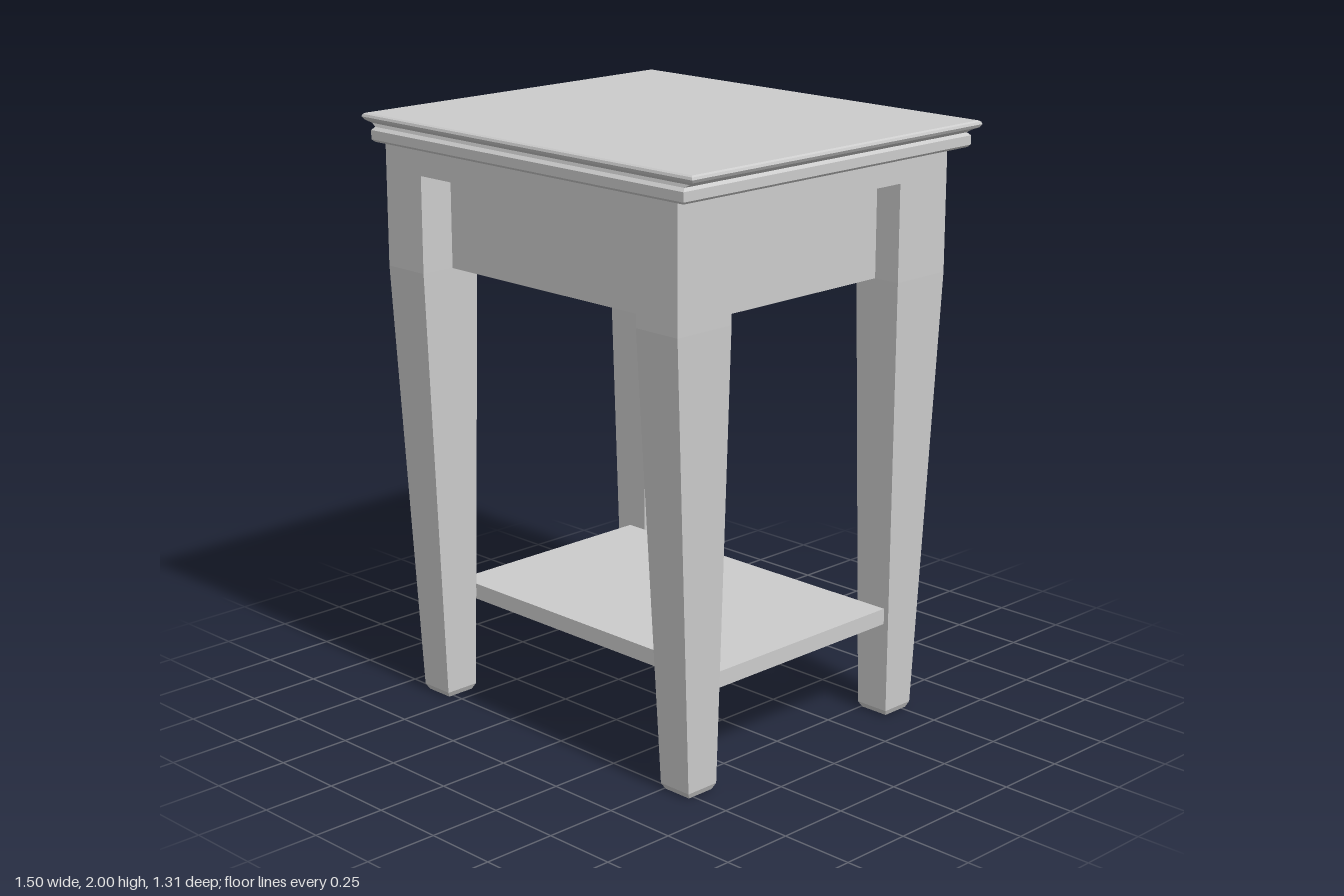
import * as THREE from 'three';

const material = new THREE.MeshStandardMaterial({ color: 0xcccccc });
const CX = -0.02; // centre line of the frame

function addMesh(group, name, geometry) {
  const mesh = new THREE.Mesh(geometry, material);
  mesh.name = name;
  group.add(mesh);
  return mesh;
}

// box from its min/max limits
function addBox(group, name, x0, x1, y0, y1, z0, z1) {
  const mesh = addMesh(group, name, new THREE.BoxGeometry(x1 - x0, y1 - y0, z1 - z0));
  mesh.position.set((x0 + x1) / 2, (y0 + y1) / 2, (z0 + z1) / 2);
  return mesh;
}

// closed solid through rectangular sections [y, x0, x1, z0, z1], bottom to top
function loft(sections) {
  const pos = [], index = [];
  for (const [y, x0, x1, z0, z1] of sections) {
    pos.push(x0, y, z1, x1, y, z1, x1, y, z0, x0, y, z0);
  }
  for (let s = 0; s < sections.length - 1; s++) {
    for (let i = 0; i < 4; i++) {
      const a = s * 4 + i, b = s * 4 + (i + 1) % 4;
      index.push(a, b, b + 4, a, b + 4, a + 4);
    }
  }
  const t = (sections.length - 1) * 4;
  index.push(0, 2, 1, 0, 3, 2, t, t + 1, t + 2, t, t + 2, t + 3);
  const geometry = new THREE.BufferGeometry();
  geometry.setAttribute('position', new THREE.Float32BufferAttribute(pos, 3));
  geometry.setIndex(index);
  const flat = geometry.toNonIndexed();
  flat.computeVertexNormals();
  return flat;
}

export function createModel() {
  const group = new THREE.Group();
  group.name = 'sideTable';

  // moulded table top: [y, half width, half depth]
  const profile = [
    [1.91, 0.70, 0.638], [1.918, 0.708, 0.646], [1.948, 0.708, 0.646],
    [1.958, 0.70, 0.635], [1.968, 0.718, 0.632], [1.978, 0.742, 0.645],
    [1.988, 0.748, 0.652], [1.996, 0.745, 0.649], [2.0, 0.738, 0.642],
  ];
  addMesh(group, 'tableTop', loft(profile.map(([y, w, d]) => [y, -w, w, -d, d])));

  // tapered legs: [y, inner x, outer x, inner z, outer z]
  const legProfile = [
    [0, 0.525, 0.628, 0.418, 0.518], [0.02, 0.515, 0.637, 0.406, 0.529],
    [1.5, 0.491, 0.665, 0.38, 0.607], [1.91, 0.491, 0.665, 0.38, 0.607],
  ];
  for (const sx of [-1, 1]) {
    for (const sz of [-1, 1]) {
      const sections = legProfile.map(([y, xi, xo, zi, zo]) => [
        y,
        CX + (sx > 0 ? xi : -xo), CX + (sx > 0 ? xo : -xi),
        sz > 0 ? zi : -zo, sz > 0 ? zo : -zi,
      ]);
      addMesh(group, (sz > 0 ? 'front' : 'back') + (sx > 0 ? 'LeftLeg' : 'RightLeg'), loft(sections));
    }
  }

  // frame under the top, flush with the legs
  addBox(group, 'topFrame', CX - 0.665, CX + 0.665, 1.82, 1.91, -0.607, 0.607);

  // recessed apron panels
  addBox(group, 'frontApron', CX - 0.5, CX + 0.5, 1.5, 1.825, 0.425, 0.485);
  for (const s of [-1, 1]) {
    const panel = addBox(group, s > 0 ? 'leftApron' : 'rightApron', -0.04, 0.04, 1.5, 1.825, -0.46, 0.46);
    panel.position.x = CX + s * 0.53;
  }

  // drawer front and knob on the back
  addBox(group, 'drawerFront', CX - 0.49, CX + 0.49, 1.5, 1.822, -0.617, -0.55);
  const knob = addMesh(group, 'drawerKnob', new THREE.CylinderGeometry(0.034, 0.034, 0.05, 24));
  knob.rotation.x = -Math.PI / 2;
  knob.position.set(CX, 1.677, -0.631);

  // lower shelf
  addBox(group, 'shelf', -0.605, 0.605, 0.33, 0.384, -0.4, 0.4);

  return group;
}
